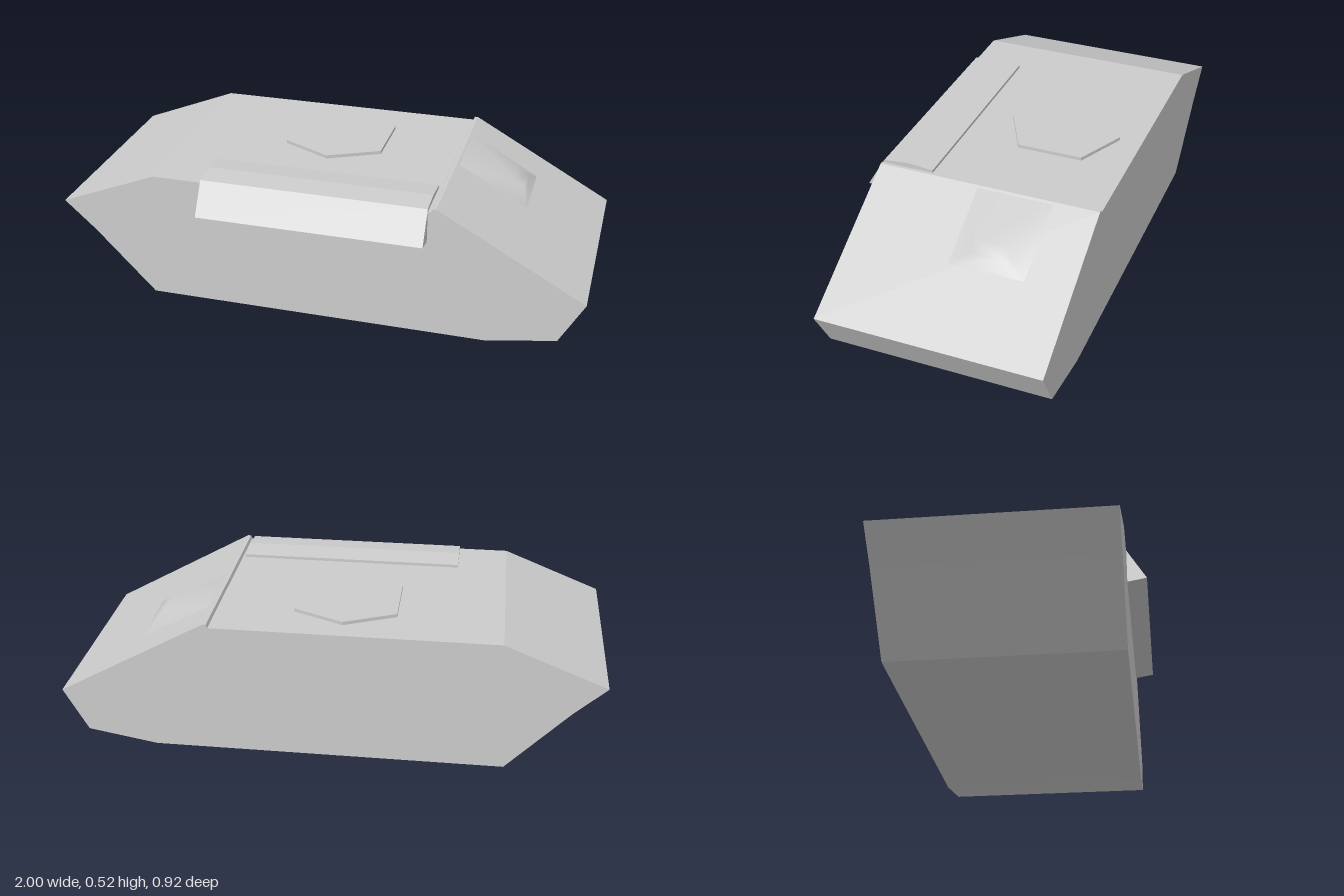
import * as THREE from 'three';

const flat = new THREE.MeshStandardMaterial({ color: 0xcccccc, flatShading: true });
const smooth = new THREE.MeshStandardMaterial({ color: 0xcccccc });

// Straight prism from a list of 2D profile points
function prism(points, depth) {
  const shape = new THREE.Shape(points.map(([x, y]) => new THREE.Vector2(x, y)));
  return new THREE.ExtrudeGeometry(shape, { depth, bevelEnabled: false });
}

function add(group, name, geometry, material = flat) {
  const mesh = new THREE.Mesh(geometry, material);
  mesh.name = name;
  group.add(mesh);
}

export function createModel() {
  const model = new THREE.Group();
  model.name = 'armouredHull';

  // Hull: side profile across the full width, with a small lip above the slope
  const hull = prism([
    [-0.65, 0], [0.65, 0], [0.91, 0.045], [1, 0.207], [0.45, 0.513], [0.437, 0.513],
    [0.432, 0.5], [-0.625, 0.5], [-1, 0.35], [-0.88, 0.24],
  ], 0.845);
  hull.translate(0, 0, -0.46);
  add(model, 'hull', hull);

  // Side pod folded over the edge of the roof; the profile is given as [z, y]
  const podProfile = [
    [0.19, 0.49], [0.19, 0.511], [0.29, 0.52], [0.385, 0.511],
    [0.457, 0.392], [0.38, 0.379],
  ];
  const pod = prism(podProfile.map(([z, y]) => [-z, y]), 0.855);
  pod.rotateY(Math.PI / 2).translate(-0.435, 0, 0);
  add(model, 'sidePod', pod);

  // Hexagonal roof hatch
  const hatch = prism([
    [-0.045, 0.375], [-0.235, 0.285], [-0.235, 0.035],
    [-0.045, -0.06], [0.145, 0.035], [0.145, 0.285],
  ], 0.03);
  hatch.rotateX(-Math.PI / 2).translate(0, 0.483, 0);
  add(model, 'roofHatch', hatch);

  // Driver's hood: a soft raised frustum on the sloping plate
  const hood = new THREE.BufferGeometry();
  hood.setAttribute('position', new THREE.Float32BufferAttribute([
    0.45, 0.511, 0, 0.725, 0.358, 0, 0.725, 0.358, -0.29, 0.45, 0.511, -0.3,
    0.66, 0.437, -0.08, 0.7, 0.412, -0.08, 0.7, 0.412, -0.19, 0.66, 0.437, -0.19,
  ], 3));
  const faces = [4, 5, 6, 4, 6, 7];
  for (let i = 0; i < 4; i++) {
    const j = (i + 1) % 4;
    faces.push(i, j, 4 + j, i, 4 + j, 4 + i);
  }
  hood.setIndex(faces);
  hood.computeVertexNormals();
  add(model, 'driverHood', hood, smooth);

  return model;
}
